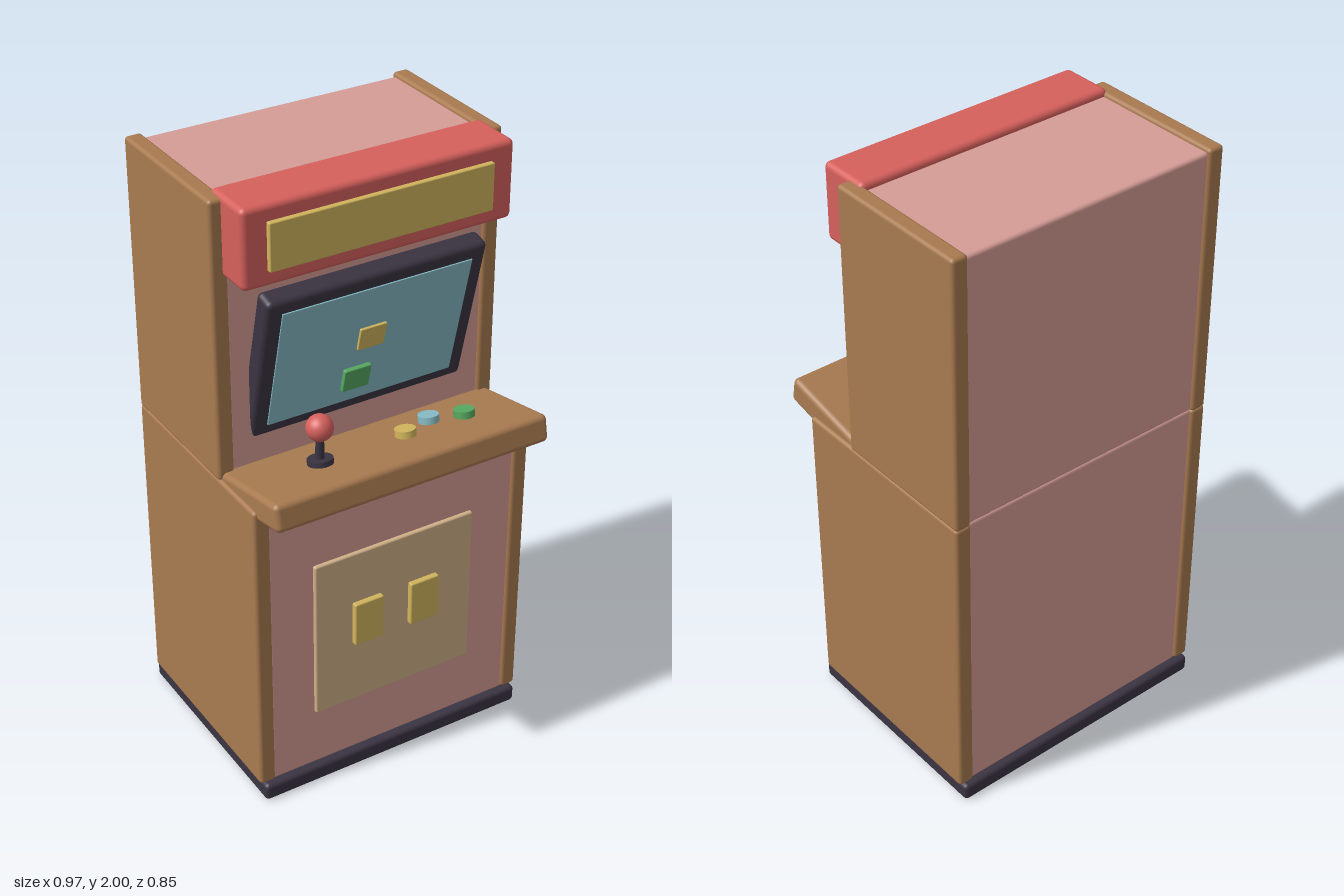
import * as THREE from 'three';
import { RoundedBoxGeometry } from 'three/addons/geometries/RoundedBoxGeometry.js';

const material = (name, color) => {
  const m = new THREE.MeshStandardMaterial({ color });
  m.name = name;
  return m;
};

export function createModel() {
  const wood = material('wood brown', 0xa87a50);
  const pink = material('cabinet pink', 0xd69c96);
  const red = material('marquee red', 0xd6605c);
  const yellow = material('yellow', 0xd0b45c);
  const tan = material('door tan', 0xd0b088);
  const dark = material('dark trim', 0x3a3442);
  const glass = material('screen blue', 0x86bac4);
  const green = material('green', 0x56a860);

  const model = new THREE.Group();
  model.name = 'arcadeCabinet';

  const add = (parent, name, geometry, mat, x, y, z) => {
    const mesh = new THREE.Mesh(geometry, mat);
    mesh.name = name;
    mesh.position.set(x, y, z);
    parent.add(mesh);
    return mesh;
  };
  // Rounded box from its size and centre
  const block = (parent, name, mat, w, h, d, x, y, z, r = 0.012) =>
    add(parent, name, new RoundedBoxGeometry(w, h, d, 3, r), mat, x, y, z);
  // Rounded box from its y and z ranges, centred on x unless moved
  const span = (name, mat, w, y0, y1, z0, z1, x = 0, r = 0.012) =>
    block(model, name, mat, w, y1 - y0, z1 - z0, x, (y0 + y1) / 2, (z0 + z1) / 2, r);
  const tilted = (name, x, y, z, angle) => {
    const group = new THREE.Group();
    group.name = name;
    group.position.set(x, y, z);
    group.rotation.x = angle;
    model.add(group);
    return group;
  };

  // Cabinet
  span('base', dark, 0.95, 0, 0.06, -0.425, 0.322, 0, 0.015);
  span('lowerBody', pink, 0.88, 0.055, 1.09, -0.4, 0.296);
  span('upperBody', pink, 0.88, 1.085, 1.978, -0.4, 0.09);
  for (const [side, s] of [['left', 1], ['right', -1]]) {
    span(side + 'LowerSidePanel', wood, 0.055, 0.06, 1.09, -0.41, 0.305, s * 0.458);
    span(side + 'UpperSidePanel', wood, 0.055, 1.085, 1.99, -0.41, 0.1, s * 0.458);
  }

  // Marquee
  span('marquee', red, 0.896, 1.75, 2, 0.035, 0.213, 0, 0.018);
  span('marqueeSign', yellow, 0.74, 1.8, 1.95, 0.2, 0.229, 0, 0.004);

  // Screen, leaning forward at the top
  const monitor = tilted('monitor', 0, 1.446, 0.117, 0.24);
  block(monitor, 'bezel', dark, 0.74, 0.52, 0.07, 0, 0, 0, 0.018);
  block(monitor, 'screen', glass, 0.64, 0.43, 0.008, 0, 0, 0.035, 0.002);
  for (const [name, mat, x, y, z] of [
    ['yellowSprite', yellow, 0, 1.465, 0.162],
    ['greenSprite', green, -0.053, 1.34, 0.162],
  ]) {
    const sprite = block(model, name, mat, 0.09, 0.08, 0.016, x, y, z, 0.003);
    sprite.rotation.x = 0.24;
  }

  // Control panel, rising towards the front
  const controls = tilted('controls', 0, 1.092, 0.241, -0.2);
  block(controls, 'controlPanel', wood, 0.948, 0.09, 0.36, 0, 0, 0, 0.018);
  for (const [name, mat, x, z] of [
    ['yellowButton', yellow, 0.075, 0.008],
    ['blueButton', glass, 0.185, -0.034],
    ['greenButton', green, 0.287, 0.008],
  ]) {
    add(controls, name, new THREE.CylinderGeometry(0.033, 0.033, 0.03, 24), mat, x, 0.053, z);
  }
  add(controls, 'joystickBase', new THREE.CylinderGeometry(0.04, 0.04, 0.022, 24), dark, -0.22, 0.051, 0.005);

  // Joystick
  add(model, 'joystickShaft', new THREE.CylinderGeometry(0.012, 0.015, 0.12, 16), dark, -0.22, 1.19, 0.233);
  add(model, 'joystickBall', new THREE.SphereGeometry(0.042, 24, 16), red, -0.22, 1.258, 0.233);

  // Coin door
  span('coinDoor', tan, 0.568, 0.265, 0.825, 0.285, 0.309, 0, 0.006);
  for (const [side, s] of [['left', 1], ['right', -1]]) {
    span(side + 'CoinSlot', yellow, 0.103, 0.49, 0.645, 0.295, 0.327, s * 0.101, 0.005);
  }
  return model;
}
